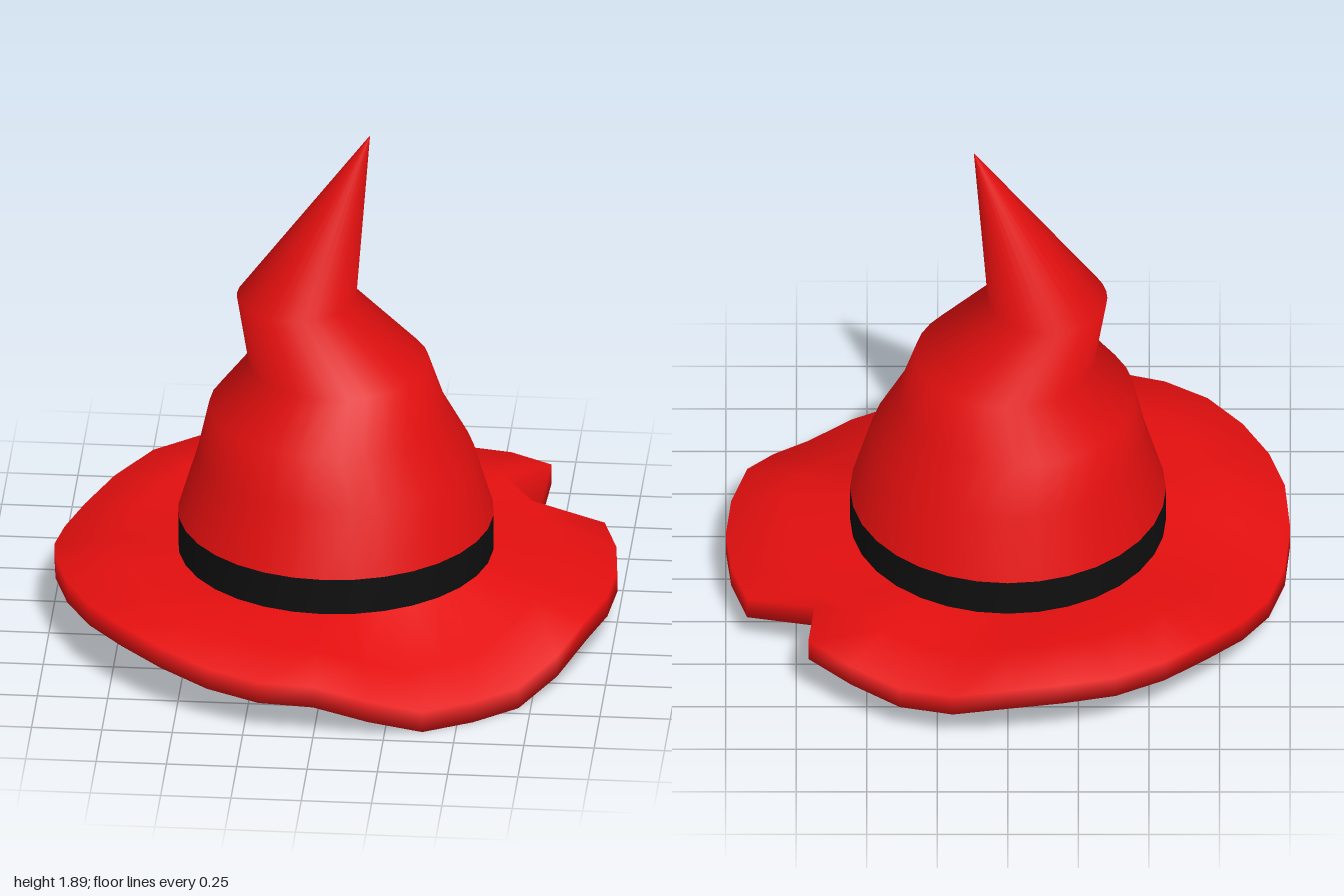
import * as THREE from 'three';

const SEG = 32;

// Skins a stack of closed rings; ring(i, j) gives [x, y, z] of corner j on ring i
function loft(ringCount, ring) {
  const pos = [], index = [];
  for (let i = 0; i < ringCount; i++) {
    for (let j = 0; j < SEG; j++) pos.push(...ring(i, j));
  }
  for (let i = 0; i < ringCount - 1; i++) {
    for (let j = 0; j < SEG; j++) {
      const k = (j + 1) % SEG;
      const a = i * SEG + j, b = i * SEG + k;
      index.push(a, b, b + SEG, a, b + SEG, a + SEG);
    }
  }
  const geo = new THREE.BufferGeometry();
  geo.setAttribute('position', new THREE.Float32BufferAttribute(pos, 3));
  geo.setIndex(index);
  geo.computeVertexNormals();
  return geo;
}

// Corner j of a level circle; j = 0 faces the front and runs towards +x
function circle(j, r, y, cx = 0) {
  const a = (j / SEG) * Math.PI * 2;
  return [cx + r * Math.sin(a), y, r * Math.cos(a)];
}

export function createModel() {
  const red = new THREE.MeshStandardMaterial({ color: 0xe30f0f, side: THREE.DoubleSide });
  red.name = 'red felt';
  const black = new THREE.MeshStandardMaterial({ color: 0x0f0f0f, side: THREE.DoubleSide });
  black.name = 'black ribbon';

  const hat = new THREE.Group();
  hat.name = 'hat';
  const add = (name, geo, mat) => {
    const mesh = new THREE.Mesh(geo, mat);
    mesh.name = name;
    hat.add(mesh);
  };

  // Crooked crown: [centre x, y, radius]
  const crown = [
    [0, 0.405, 0.56], [0, 0.64, 0.49], [-0.03, 0.82, 0.42],
    [0.01, 1.0, 0.32], [-0.14, 1.25, 0.212], [0.12, 1.89, 0.001],
  ];
  add('crown', loft(crown.length, (i, j) => circle(j, crown[i][2], crown[i][1], crown[i][0])), red);

  // Band around the foot of the crown
  const band = [0.265, 0.405];
  add('band', loft(2, (i, j) => circle(j, 0.56, band[i])), black);

  // Wavy brim: rise or droop of the edge at each corner, front first
  const wave = [
    0, -0.06, -0.12, -0.12, -0.12, -0.065, 0, 0,
    0, 0, 0, 0.02, 0.06, 0.04, 0.01, 0.02,
    0.06, 0.07, 0.06, 0.06, 0.06, 0.03, 0, 0,
    0.03, 0.07, 0.07, 0.07, 0.07, 0.05, 0.02, 0,
  ];
  const NOTCH = 11;
  // Brim section from the underside, round the edge, to the band: [radius, y, share of wave]
  const section = [
    [0.62, 0.12, 0], [0.785, 0.12, 0.8], [1, 0.12, 1],
    [1, 0.2, 1], [0.785, 0.236, 0.8], [0.56, 0.27, 0],
  ];
  add('brim', loft(section.length, (i, j) => {
    const [r, y, share] = section[i];
    const radius = j === NOTCH && r === 1 ? 0.825 : r;
    return circle(j, radius, y + wave[j] * share);
  }), red);

  // Inner wall of the head opening
  const wall = [[0.56, 0.27], [0.62, 0.12]];
  add('opening', loft(2, (i, j) => circle(j, ...wall[i])), red);

  return hat;
}
